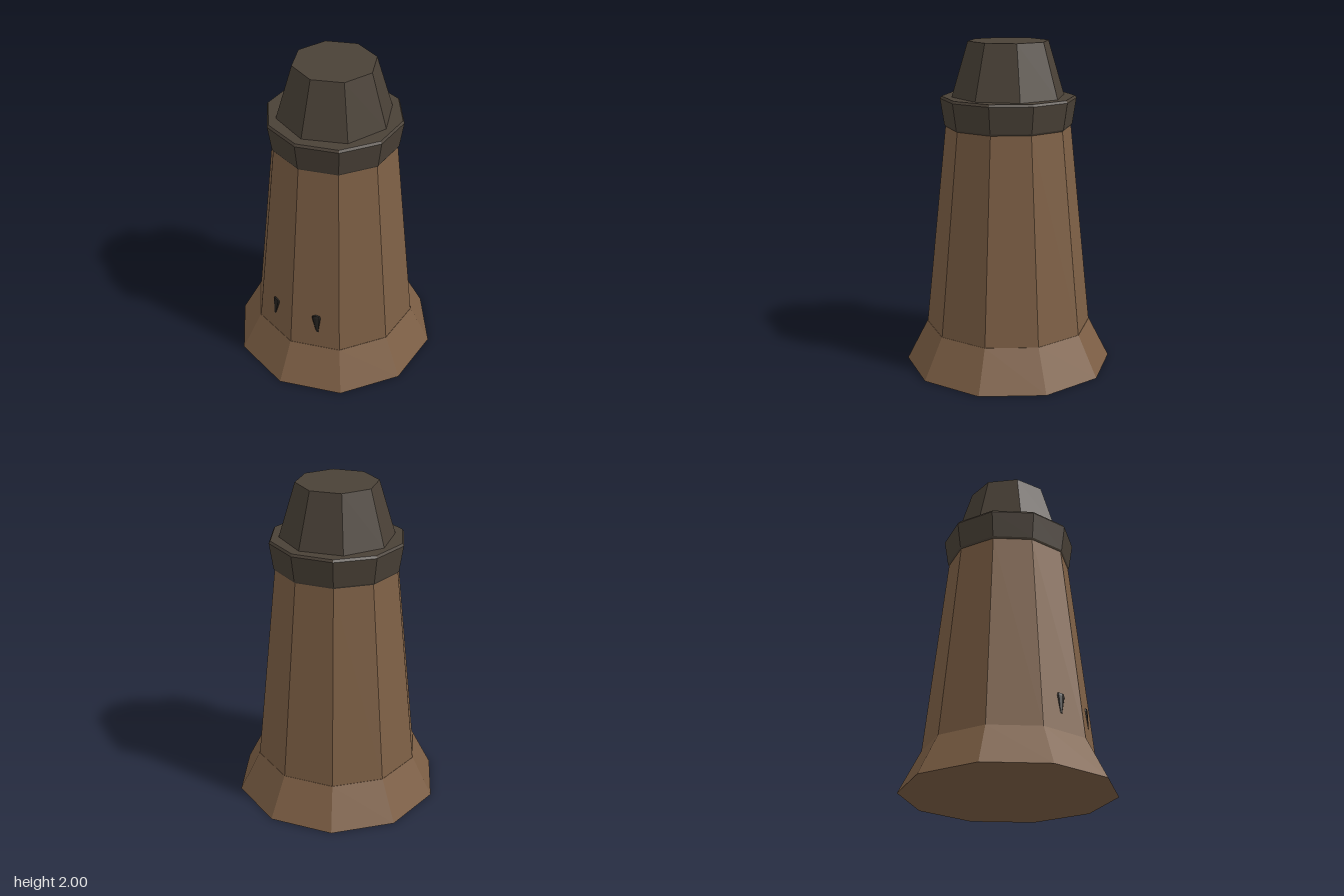
import * as THREE from 'three';

const paint = (color) => new THREE.MeshStandardMaterial({ color, flatShading: true });

// Faceted solid of revolution from [radius, height] points, bottom to top
function turned(name, profile, sides, material) {
  const points = profile.map(([r, y]) => new THREE.Vector2(r, y));
  const mesh = new THREE.Mesh(new THREE.LatheGeometry(points, sides), material);
  mesh.name = name;
  return mesh;
}

export function createModel() {
  const model = new THREE.Group();
  model.name = 'tower';
  const brown = paint(0x7d5f45);
  const dark = paint(0x4a4137);
  const black = paint(0x25221f);

  // Ten-sided flared foot and tapering shaft
  model.add(turned('base', [[0, 0], [0.64, 0], [0.512, 0.25], [0, 0.25]], 10, brown));
  model.add(turned('shaft', [[0, 0.25], [0.51, 0.25], [0.38, 1.49], [0, 1.49]], 10, brown));

  // Collar with softened rims
  model.add(turned('collar', [
    [0, 1.485], [0.378, 1.485], [0.387, 1.5], [0.411, 1.658], [0.402, 1.672], [0, 1.672],
  ], 10, dark));

  // Eight-sided cap
  model.add(turned('cap', [[0, 1.67], [0.345, 1.67], [0.245, 2], [0, 2]], 8, dark));

  // Pair of flattened, downward-pointing studs set into the front facets
  for (const side of [-1, 1]) {
    const stud = turned(side > 0 ? 'leftStud' : 'rightStud', [
      [0, -0.065], [0.008, -0.063], [0.029, 0.042], [0.025, 0.058], [0, 0.064],
    ], 8, black);
    stud.scale.z = 0.4;
    stud.position.set(side * 0.152, 0.425, 0.441);
    stud.rotation.order = 'YXZ';
    stud.rotation.set(-0.1, side * Math.PI / 10, side * 0.08);
    model.add(stud);
  }
  return model;
}
